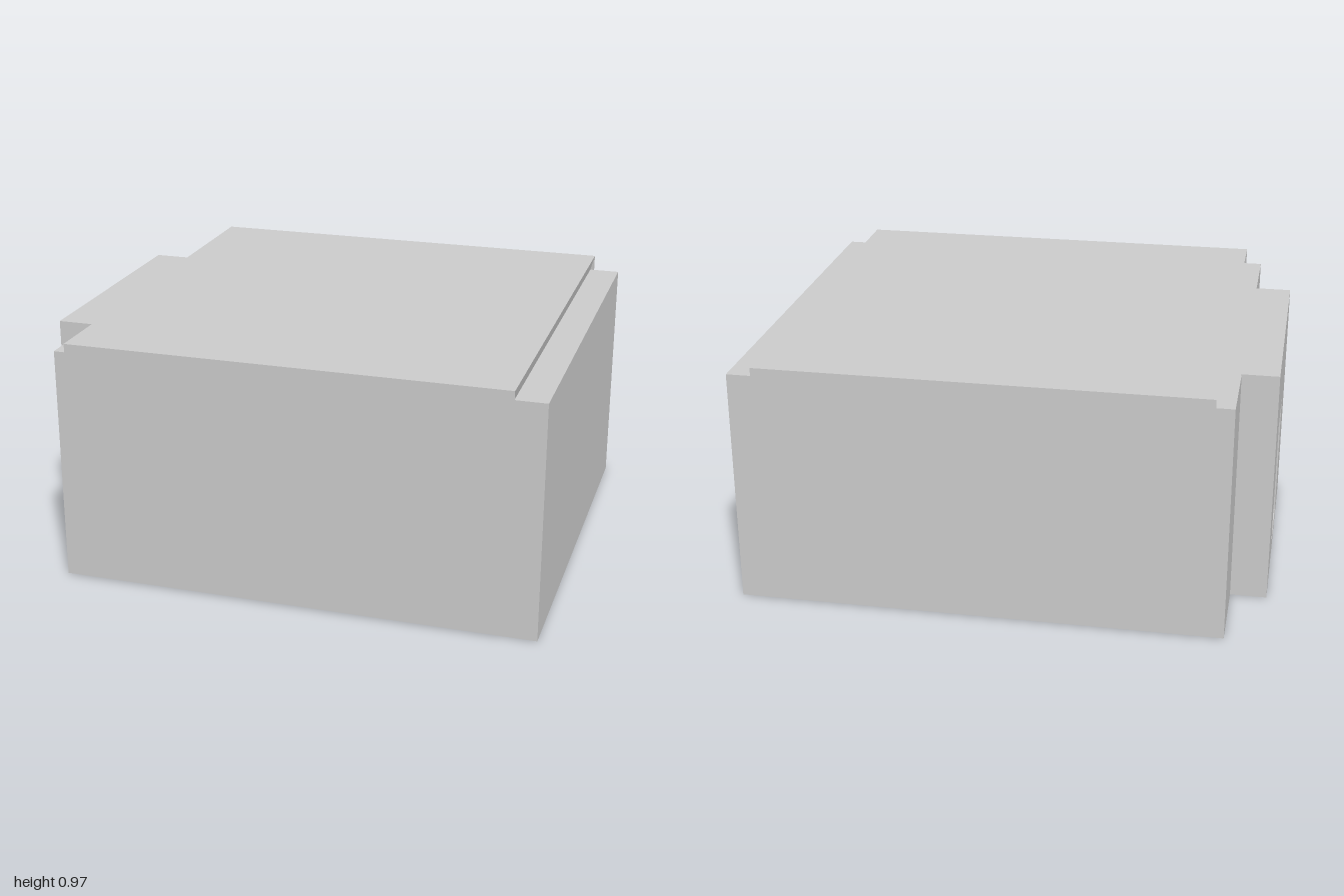
import * as THREE from 'three';

const material = new THREE.MeshStandardMaterial({ color: 0xcccccc, flatShading: true });

// Rectangle path in the z-y plane: half width, bottom, top
function rect(path, half, bottom, top) {
  path.moveTo(-half, bottom);
  path.lineTo(half, bottom);
  path.lineTo(half, top);
  path.lineTo(-half, top);
  path.closePath();
  return path;
}

// Extrude a z-y outline along x from x0 to x1
function extrudeX(shape, x0, x1) {
  return new THREE.ExtrudeGeometry(shape, { depth: x1 - x0, bevelEnabled: false })
    .rotateY(Math.PI / 2)
    .translate(x0, 0, 0);
}

function slab(name, x0, x1, outer, hole) {
  const shape = rect(new THREE.Shape(), ...outer);
  if (hole) shape.holes.push(rect(new THREE.Path(), ...hole));
  const mesh = new THREE.Mesh(extrudeX(shape, x0, x1), material);
  mesh.name = name;
  return mesh;
}

export function createModel() {
  const group = new THREE.Group();
  group.name = 'house';

  const body = [0.83, 0, 0.92];
  const room = [0.76, 0.06, 0.85];
  const door = [0.16, 0.06, 0.575];

  // Hollow body: doorway wall, room and closed end wall
  group.add(slab('doorwayWall', -0.86, -0.784, body, door));
  group.add(slab('roomShell', -0.784, 0.924, body, room));
  group.add(slab('endWall', 0.924, 1, body));

  // Entrance block
  group.add(slab('porch', -1, -0.86, [0.495, 0, 0.92], door));

  // Raised cover over front, roof and back, tapering slightly towards the body
  const profile = new THREE.Shape([
    [0.83, 0.065], [0.875, 0.055], [0.875, 0.97], [-0.875, 0.97],
    [-0.875, 0.055], [-0.83, 0.065], [-0.83, 0.92], [0.83, 0.92],
  ].map(([z, y]) => new THREE.Vector2(z, y)));
  const geometry = extrudeX(profile, -0.795, 0.89);
  const pos = geometry.attributes.position;
  for (let i = 0; i < pos.count; i++) {
    const inner = Math.abs(pos.getZ(i)) < 0.85;
    if (inner) pos.setX(i, pos.getX(i) > 0 ? 0.88 : -0.785);
  }
  geometry.computeVertexNormals();
  const cover = new THREE.Mesh(geometry, material);
  cover.name = 'cover';
  group.add(cover);

  return group;
}
